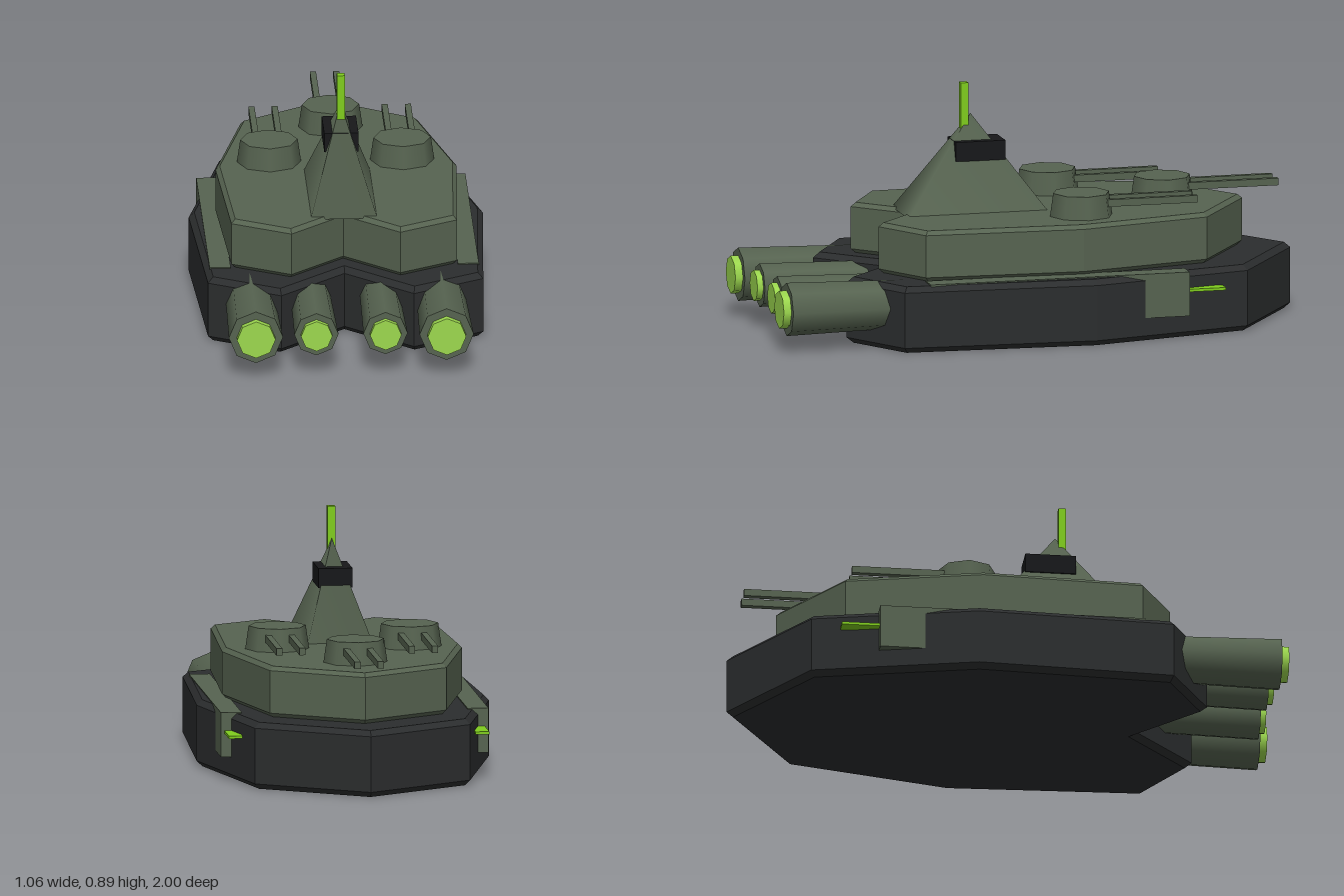
import * as THREE from 'three';

const mat = (color) => new THREE.MeshStandardMaterial({ color });

// Half outline of the hull seen from above, as [x, z] from bow tip to stern notch
const OUTLINE = [[0, -1], [0.392, -0.737], [0.532, -0.14], [0.498, 0.57], [0.24, 0.72], [0, 0.49]];

// Bevelled slab with the mirrored outline, between heights y0 and y1
function slab(scale, y0, y1, bevel) {
  const mirrored = OUTLINE.slice(1, -1).reverse().map(([x, z]) => [-x, z]);
  const points = [...OUTLINE, ...mirrored].map(([x, z]) => new THREE.Vector2(x * scale, -z * scale));
  const geometry = new THREE.ExtrudeGeometry(new THREE.Shape(points), {
    depth: y1 - y0 - 2 * bevel, bevelEnabled: true, bevelSegments: 1,
    bevelSize: bevel, bevelThickness: bevel, bevelOffset: -bevel,
  });
  return geometry.rotateX(-Math.PI / 2).translate(0, y0 + bevel, 0);
}

// Box given by its min and max corners
function box(x0, x1, y0, y1, z0, z1) {
  return new THREE.BoxGeometry(x1 - x0, y1 - y0, z1 - z0)
    .translate((x0 + x1) / 2, (y0 + y1) / 2, (z0 + z1) / 2);
}

// Eight-sided tube along z, from z0 (radius r0) to z1 (radius r1)
function pipe(x, y, z0, z1, r0, r1) {
  return new THREE.CylinderGeometry(r1, r0, z1 - z0, 8)
    .rotateX(Math.PI / 2).translate(x, y, (z0 + z1) / 2);
}

export function createModel() {
  const model = new THREE.Group();
  model.name = 'gunship';
  const dark = mat(0x2b2d2e), black = mat(0x17181a), green = mat(0x566350);
  const lime = mat(0x7fcc1e), glow = mat(0x9cd84e);

  const add = (name, geometry, material, parent = model) => {
    const mesh = new THREE.Mesh(geometry, material);
    mesh.name = name;
    parent.add(mesh);
    return mesh;
  };

  // Hull and upper deck share one outline
  add('hull', slab(1, 0, 0.243, 0.02), dark);
  add('upperDeck', slab(0.82, 0.243, 0.428, 0.015), green);

  for (const side of [-1, 1]) {
    const name = side > 0 ? 'left' : 'right';

    // Long side pods let into the hull, with a thin lime fin at the bow end
    const podX = side * 0.449;
    add(name + 'SidePod', box(podX - 0.038, podX + 0.038, 0.085, 0.247, -0.497, 0.47), green);
    add(name + 'Fin', box(podX - 0.025, podX + 0.025, 0.171, 0.181, -0.635, -0.4), lime);

    // Engines with glowing nozzles
    for (const [label, x, r, end, tip] of [['Outer', 0.345, 0.098, 0.972, 1], ['Inner', 0.125, 0.08, 0.95, 0.972]]) {
      const engine = new THREE.Group();
      engine.name = name + label + 'Engine';
      model.add(engine);
      add('casing', pipe(side * x, 0.155, 0.45, end, r * 0.88, r), green, engine);
      add('nozzle', pipe(side * x, 0.155, end - 0.05, tip, r * 0.71, r * 0.71), glow, engine);
    }
  }

  // Twin-gun turrets
  for (const [name, x, z] of [['bowTurret', 0, -0.52], ['leftTurret', 0.241, -0.155], ['rightTurret', -0.241, -0.155]]) {
    const turret = new THREE.Group();
    turret.name = name;
    turret.position.set(x, 0, z);
    model.add(turret);
    add('turretBase', new THREE.CylinderGeometry(0.104, 0.117, 0.089, 8).translate(0, 0.4675, 0), green, turret);
    for (const gunX of [-0.042, 0.042]) {
      add('gunBarrel', box(gunX - 0.011, gunX + 0.011, 0.463, 0.489, -0.422, -0.03), green, turret);
    }
  }

  // Pyramid tower with bridge and antenna
  const tower = new THREE.ConeGeometry(Math.SQRT2, 0.355, 4, 1, false, Math.PI / 4)
    .scale(0.121, 1, 0.262).translate(0, 0.5975, 0.195);
  add('tower', tower, green);
  add('bridge', box(-0.062, 0.062, 0.61, 0.681, 0.08, 0.265), black);
  add('antenna', box(-0.014, 0.014, 0.66, 0.89, 0.206, 0.234), lime);

  return model;
}
